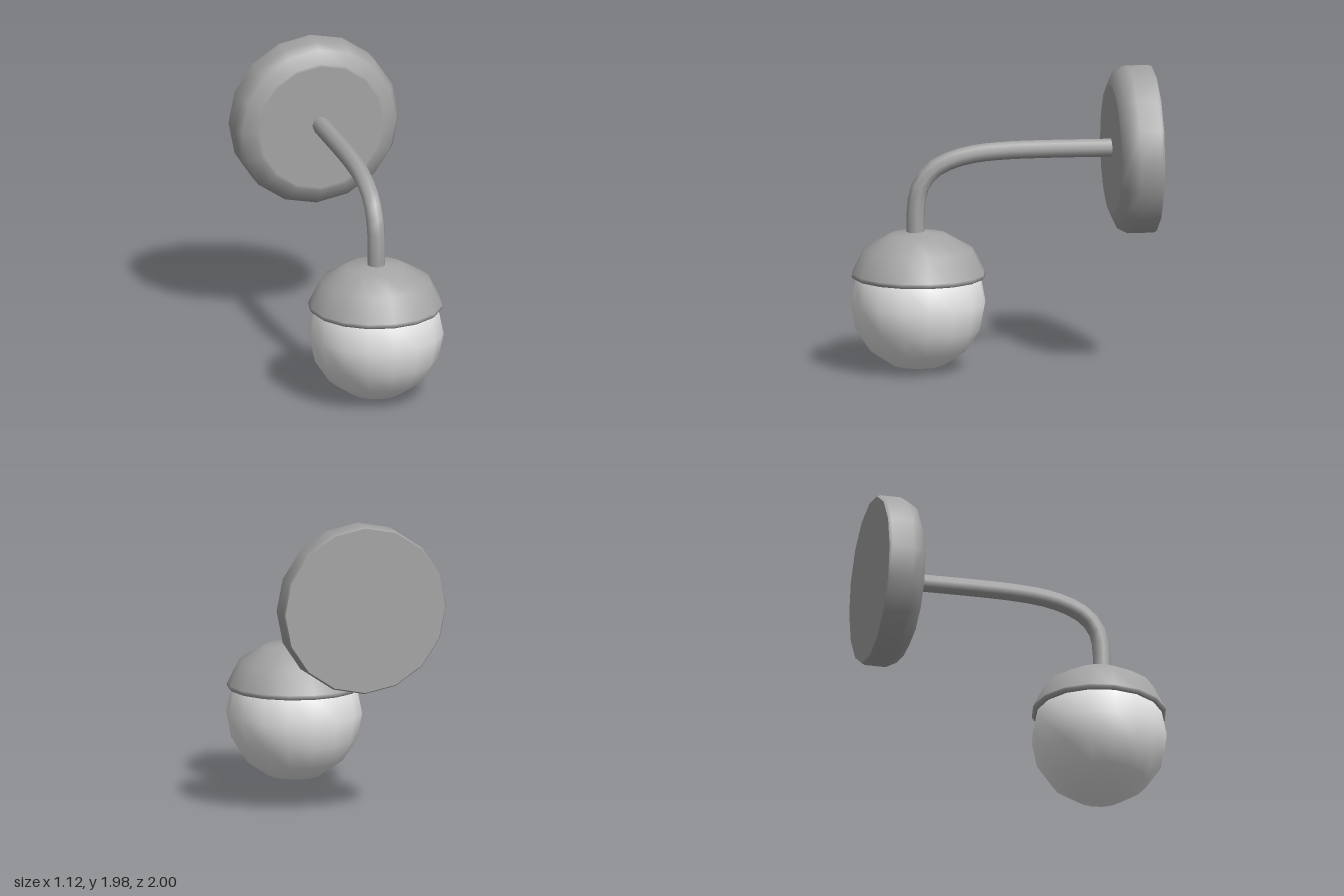
import * as THREE from 'three';

const SIDES = 16;

// Revolved solid from [radius, height] pairs; a repeated pair makes a sharp edge
function lathe(name, profile, material) {
  const points = profile.map(([r, y]) => new THREE.Vector2(r, y));
  const mesh = new THREE.Mesh(new THREE.LatheGeometry(points, SIDES), material);
  mesh.name = name;
  return mesh;
}

export function createModel() {
  const metal = new THREE.MeshStandardMaterial({ color: 0xa4a4a4 });
  metal.name = 'grey metal';
  const glass = new THREE.MeshStandardMaterial({ color: 0xe6e6e6 });
  glass.name = 'white glass';

  const lamp = new THREE.Group();
  lamp.name = 'wallLamp';

  // Round wall plate with a softened front rim, its axis turned to face +z
  const plate = lathe('wallPlate', [
    [0, 0], [0.55, 0], [0.55, 0], [0.56, 0.02], [0.56, 0.16],
    [0.525, 0.23], [0.44, 0.27], [0.42, 0.27], [0, 0.27],
  ], metal);
  plate.rotation.x = Math.PI / 2;
  plate.position.set(0, 1.43, -1);
  lamp.add(plate);

  // Arm running forward from the plate and bending down into the cap
  const path = new THREE.CatmullRomCurve3([
    [1.445, -0.76], [1.45, -0.26], [1.447, -0.02], [1.43, 0.185], [1.39, 0.345],
    [1.32, 0.47], [1.21, 0.545], [1.06, 0.568], [0.88, 0.568],
  ].map(([y, z]) => new THREE.Vector3(0, y, z)));
  const arm = new THREE.Mesh(new THREE.TubeGeometry(path, 20, 0.06, 8), metal);
  arm.name = 'arm';
  lamp.add(arm);

  // Domed cap with a small turned-in lip around the globe
  const cap = lathe('shadeCap', [
    [0.4, 0.62], [0.43, 0.62], [0.43, 0.62], [0.445, 0.635], [0.44, 0.65],
    [0.44, 0.65], [0.36, 0.81], [0.19, 0.907], [0, 0.935],
  ], metal);
  cap.position.z = 0.55;
  lamp.add(cap);

  // Glass globe
  const globe = new THREE.Mesh(new THREE.SphereGeometry(0.448, SIDES, 8), glass);
  globe.name = 'globe';
  globe.position.set(0, 0.454, 0.552);
  lamp.add(globe);

  return lamp;
}
